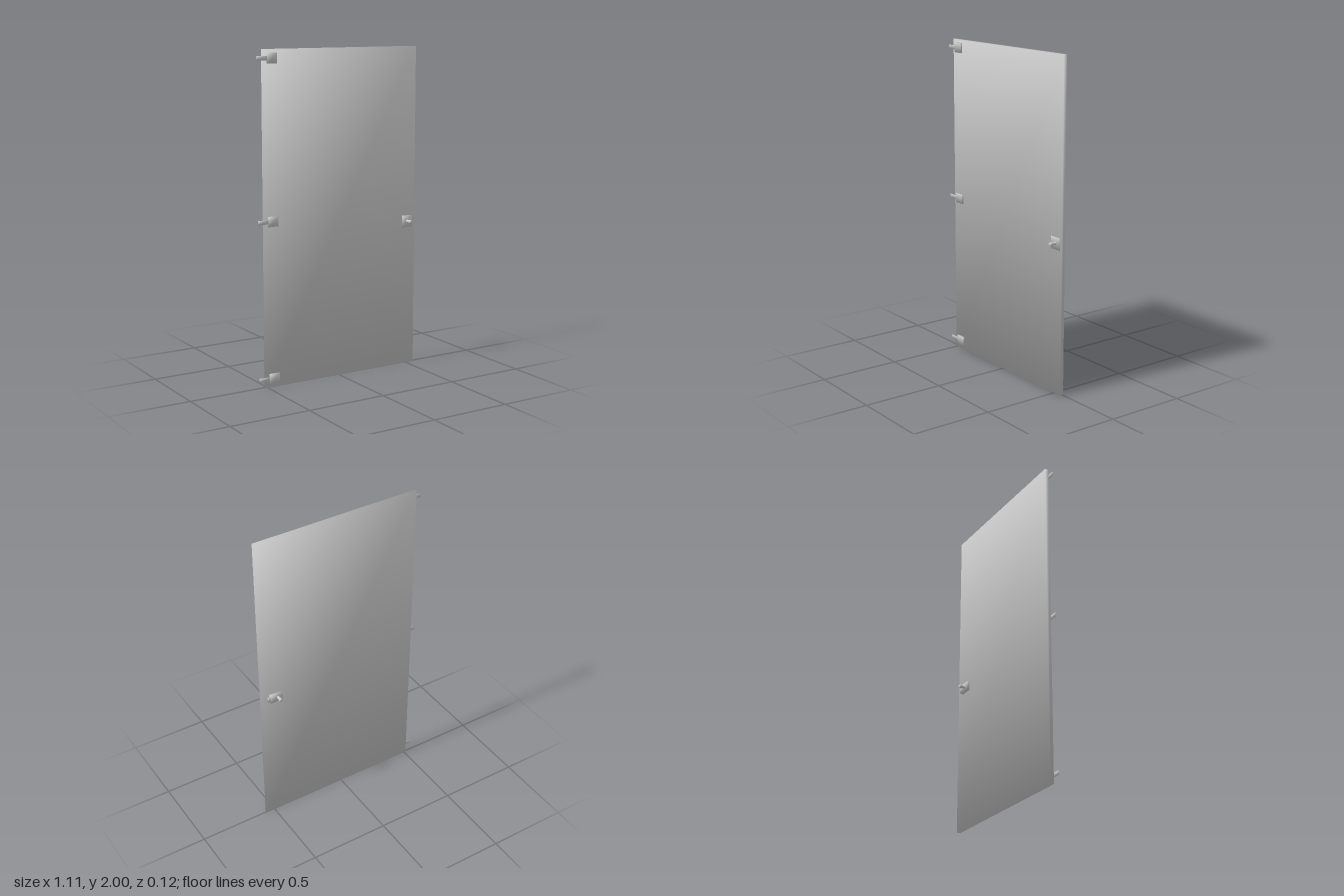
import * as THREE from 'three';

const material = new THREE.MeshStandardMaterial({ color: 0xcccccc });

function addMesh(parent, name, geometry, x = 0, y = 0, z = 0) {
  const mesh = new THREE.Mesh(geometry, material);
  mesh.name = name;
  mesh.position.set(x, y, z);
  parent.add(mesh);
}

// Smooth-shaded box from z = 0 to z = d: each corner has one shared diagonal
// normal, and the outer (+z) face may be inset to slope the sides
function plate(w, h, d, inset = 0) {
  const g = new THREE.BoxGeometry(w, h, d);
  const { position, normal } = g.attributes;
  const corner = new THREE.Vector3();
  for (let i = 0; i < position.count; i++) {
    corner.fromBufferAttribute(position, i);
    const sx = Math.sign(corner.x), sy = Math.sign(corner.y), sz = Math.sign(corner.z);
    const shrink = sz > 0 ? inset : 0;
    position.setXYZ(i, corner.x - sx * shrink, corner.y - sy * shrink, corner.z + d / 2);
    corner.set(sx, sy, sz).normalize();
    normal.setXYZ(i, corner.x, corner.y, corner.z);
  }
  return g;
}

// Turned knob, narrow at the neck and fuller at the tip, pointing along +z
function knob(length) {
  const profile = [[0.010, 0], [0.008, 0.2], [0.008, 0.42], [0.0115, 0.6], [0.0115, 0.85], [0.009, 1], [0, 1]]
    .map(([r, t]) => new THREE.Vector2(r, t * length));
  return new THREE.LatheGeometry(profile, 20).rotateX(Math.PI / 2);
}

export function createModel() {
  const model = new THREE.Group();
  model.name = 'door';
  const front = 0.015, back = -0.007;

  // Door leaf
  addMesh(model, 'panel', plate(1.067, 2, front - back), 0.0215, 1, back);

  // Three hinges along the right edge
  for (const y of [0.053, 1.001, 1.949]) {
    const hinge = new THREE.Group();
    hinge.name = 'hinge';
    hinge.position.set(-0.456, y, front);
    addMesh(hinge, 'hingePlate', plate(0.067, 0.062, 0.01, 0.002));
    addMesh(hinge, 'hingeTongue', plate(0.07, 0.024, 0.005), -0.065, 0, 0.001);
    model.add(hinge);
  }

  // Front pull: square backplate and knob
  const pull = new THREE.Group();
  pull.name = 'frontPull';
  pull.position.set(0.5, 0.915, front);
  addMesh(pull, 'backplate', plate(0.074, 0.074, 0.004));
  addMesh(pull, 'frontKnob', knob(0.0425), 0, 0, 0.004);
  model.add(pull);

  // Rear latch: case, bolt and knob, turned to face the back
  const latch = new THREE.Group();
  latch.name = 'rearLatch';
  latch.position.set(0.461, 0.915, back);
  latch.rotation.y = Math.PI;
  addMesh(latch, 'latchCase', plate(0.084, 0.054, 0.018));
  addMesh(latch, 'latchBolt', plate(0.025, 0.03, 0.009), -0.0445, 0, 0.004);
  addMesh(latch, 'rearKnob', knob(0.0365), 0.009, 0, 0.018);
  model.add(latch);

  return model;
}
